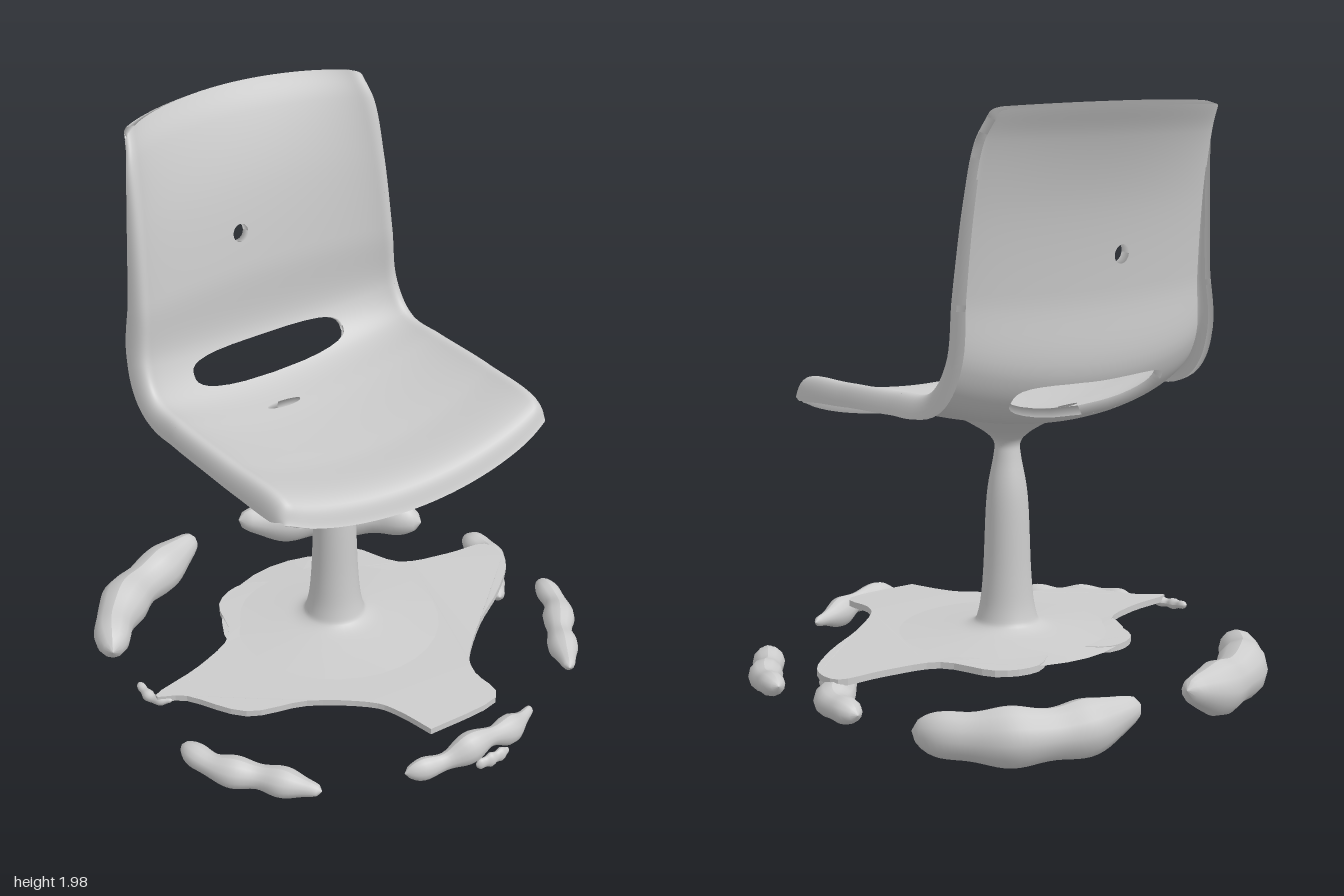
import * as THREE from 'three';
import { mergeGeometries } from 'three/addons/utils/BufferGeometryUtils.js';

const material = new THREE.MeshStandardMaterial({ color: 0xcccccc, side: THREE.DoubleSide });
const V = (x, y, z) => new THREE.Vector3(x, y, z);

// Shell stations from the front lip to the top of the back:
// half width, centre y, centre z, edge y, edge z
const stations = [
  [0.535, 0.91, 0.46, 1.03, 0.41], [0.555, 0.985, 0.42, 1.11, 0.365],
  [0.57, 0.98, 0.15, 1.145, 0.1], [0.57, 0.985, -0.2, 1.155, -0.15],
  [0.565, 1.02, -0.38, 1.165, -0.28], [0.555, 1.14, -0.475, 1.25, -0.335],
  [0.54, 1.4, -0.487, 1.42, -0.35], [0.518, 1.7, -0.53, 1.7, -0.385],
  [0.497, 1.9, -0.595, 1.89, -0.425], [0.475, 1.995, -0.645, 1.975, -0.47],
];
const LAST = stations.length - 1;
const centreLine = new THREE.CatmullRomCurve3(stations.map(([w, y, z]) => V(w, y, z)));
const edgeLine = new THREE.CatmullRomCurve3(stations.map(([w, , , y, z]) => V(w, y, z)));

// Point on the shell: s runs across (-1..1), v along the stations (0..LAST)
function shellPoint(s, v) {
  const t = THREE.MathUtils.clamp(v / LAST, 0, 1);
  const p = centreLine.getPoint(t).lerp(edgeLine.getPoint(t), s * s);
  p.x *= 1.2 * s - 0.2 * s ** 5;
  // turned-over rim, shallower at the front lip and towards the top of the back
  const { smoothstep } = THREE.MathUtils;
  const tan = edgeLine.getTangent(Math.max(t, 1.6 / LAST));
  const depth = 0.02 + 0.105 * smoothstep(v, -0.2, 1.4) - 0.075 * smoothstep(v, 4, LAST);
  const drop = depth * (Math.max(0, Math.abs(s) - 0.8) / 0.2) ** 2;
  const len = Math.hypot(tan.y, tan.z);
  p.y += (drop * tan.z) / len;
  p.z -= (drop * tan.y) / len;
  return p;
}

function shellNormal(s, v) {
  const e = 0.02;
  const a = shellPoint(Math.min(s + e, 1), v).sub(shellPoint(Math.max(s - e, -1), v));
  const b = shellPoint(s, Math.min(v + e, LAST)).sub(shellPoint(s, Math.max(v - e, 0)));
  return a.cross(b).normalize();
}

// Thick strip of the shell between two side limits given for each row
function strip(vs, from, to, n = 48, thickness = 0.032) {
  const pos = [], nor = [], idx = [], ring = 2 * (n + 1);
  vs.forEach((v, j) => {
    for (let k = 0; k < ring; k++) {
      const back = k > n;
      const s = THREE.MathUtils.lerp(from(j), to(j), (back ? ring - 1 - k : k) / n);
      const p = shellPoint(s, v), m = shellNormal(s, v);
      if (back) { p.addScaledVector(m, -thickness); m.negate(); }
      pos.push(p.x, p.y, p.z);
      nor.push(m.x, m.y, m.z);
      if (j < vs.length - 1) {
        const a = j * ring + k, b = j * ring + ((k + 1) % ring);
        idx.push(a, b, b + ring, a, b + ring, a + ring);
      }
    }
  });
  // close the free ends
  const cap = (r, flip) => {
    for (let k = 0; k < n; k++) {
      const a = r + k, b = a + 1, c = r + ring - 2 - k, d = c + 1;
      idx.push(...(flip ? [a, c, b, a, d, c] : [a, b, c, a, c, d]));
    }
  };
  if (vs[0] === 0) cap(0, true);
  if (vs.at(-1) === LAST) cap((vs.length - 1) * ring, false);
  const g = new THREE.BufferGeometry();
  g.setAttribute('position', new THREE.Float32BufferAttribute(pos, 3));
  g.setAttribute('normal', new THREE.Float32BufferAttribute(nor, 3));
  g.setIndex(idx);
  return g;
}

function solidPanel(v0, v1) {
  const rows = Math.max(2, Math.ceil((v1 - v0) * 8));
  const vs = Array.from({ length: rows + 1 }, (_, i) => (i === rows ? v1 : v0 + ((v1 - v0) * i) / rows));
  return strip(vs, () => -1, () => 1, 96);
}

// Two strips that leave a rounded opening between them
function holedPanel(v0, v1, centre, half, power) {
  const rows = 16, vs = [], gap = [];
  for (let i = 0; i <= rows; i++) {
    const c = -Math.cos((Math.PI * i) / rows);
    vs.push(i === rows ? v1 : v0 + ((v1 - v0) * (c + 1)) / 2);
    gap.push(half * Math.max(0, 1 - Math.abs(c) ** power) ** (1 / power));
  }
  return [
    strip(vs, () => -1, (j) => centre - gap[j]),
    strip(vs, (j) => centre + gap[j], () => 1),
  ];
}

// Lumpy tapered piece following a floor path of [x, y, z] points
function lump(points, radius, flat = 1, waviness = 0.12) {
  const curve = new THREE.CatmullRomCurve3(points.map((p) => V(...p)));
  const g = new THREE.TubeGeometry(curve, 36, radius, 12);
  const p = g.attributes.position, uv = g.attributes.uv, q = V(0, 0, 0);
  for (let i = 0; i < p.count; i++) {
    const u = uv.getX(i), c = curve.getPointAt(u);
    const k = Math.sqrt(Math.max(0, 1 - Math.abs(2 * u - 1) ** 3)) * (1 - waviness + waviness * Math.sin(u * 19));
    q.fromBufferAttribute(p, i).sub(c).multiplyScalar(k);
    q.y *= flat;
    q.add(c);
    p.setXYZ(i, q.x, q.y, q.z);
  }
  g.computeVertexNormals();
  return g;
}

export function createModel() {
  const group = new THREE.Group();
  const add = (name, geometry) => {
    const mesh = new THREE.Mesh(geometry, material);
    mesh.name = name;
    group.add(mesh);
    return mesh;
  };

  // One-piece seat and back with drain hole, rear slot and small back hole
  add('seatShell', mergeGeometries([
    solidPanel(0, 3.08),
    ...holedPanel(3.08, 3.26, -0.11, 0.1, 2),
    solidPanel(3.26, 4.05),
    ...holedPanel(4.05, 4.95, -0.01, 0.47, 3),
    solidPanel(4.95, 6.3),
    ...holedPanel(6.3, 6.5, -0.085, 0.048, 2),
    solidPanel(6.5, LAST),
  ]));

  // Pedestal flaring into the seat and the base
  const profile = new THREE.SplineCurve([
    [0.4, 0.192], [0.22, 0.208], [0.125, 0.225], [0.097, 0.27], [0.082, 0.4], [0.07, 0.66],
    [0.047, 0.8], [0.045, 0.85], [0.075, 0.885], [0.13, 0.92], [0.19, 0.955],
  ].map(([r, y]) => new THREE.Vector2(r, y)));
  add('pedestal', new THREE.LatheGeometry(profile.getPoints(60), 32)).position.set(-0.018, 0, -0.026);

  // Thin star-shaped base plate, sinking slightly towards its tips
  const outline = new THREE.SplineCurve([
    [-0.14, 0.66], [0.14, 0.66], [0.17, 0.52], [0.22, 0.43], [0.38, 0.3], [0.56, 0.19], [0.71, 0.06],
    [0.72, -0.07], [0.56, -0.1], [0.38, -0.16], [0.3, -0.34], [0.16, -0.39], [0, -0.3], [-0.16, -0.39],
    [-0.3, -0.34], [-0.38, -0.16], [-0.56, -0.08], [-0.76, -0.04], [-0.68, 0.03], [-0.57, 0.22],
    [-0.38, 0.3], [-0.22, 0.43], [-0.17, 0.52], [-0.14, 0.66],
  ].map(([x, z]) => new THREE.Vector2(x, -z)));
  const plate = new THREE.ExtrudeGeometry(new THREE.Shape(outline.getPoints(92)), { depth: 0.022, bevelEnabled: false });
  plate.rotateX(-Math.PI / 2);
  const p = plate.attributes.position;
  for (let i = 0; i < p.count; i++) {
    p.setY(i, p.getY(i) + 0.187 - 0.03 * Math.hypot(p.getX(i), p.getZ(i)));
  }
  plate.computeVertexNormals();
  add('basePlate', plate);

  // Rear and front-side foot pieces, mirrored
  for (const [side, m] of [['left', 1], ['right', -1]]) {
    add(side + 'RearFoot', lump([[0.7 * m, 0.11, -0.42], [0.61 * m, 0.11, -0.56], [0.47 * m, 0.11, -0.68],
      [0.3 * m, 0.115, -0.75], [0.1 * m, 0.16, -0.8]], 0.088, 1.1, 0.08));
    add(side + 'FrontFoot', lump([[0.79 * m, 0.12, 0.16], [0.75 * m, 0.1, 0.3], [0.65 * m, 0.09, 0.43],
      [0.54 * m, 0.09, 0.6]], 0.058, 0.95));
  }
  // Side and front foot pieces
  add('leftSideFoot', lump([[0.76, 0.12, -0.23], [0.75, 0.12, -0.08], [0.66, 0.12, 0], [0.58, 0.14, 0.18]], 0.065, 0.9));
  add('rightSideFoot', lump([[-0.76, 0.17, -0.15], [-0.76, 0.16, -0.06], [-0.72, 0.17, 0]], 0.02));
  add('frontFoot', lump([[-0.29, 0.11, 0.71], [-0.16, 0.11, 0.74], [0, 0.14, 0.76], [0.15, 0.11, 0.74], [0.27, 0.11, 0.7]], 0.048, 1.2, 0.2));
  add('frontToe', lump([[-0.07, 0.1, 0.81], [0, 0.1, 0.815], [0.07, 0.1, 0.81]], 0.018, 1.5));
  return group;
}
